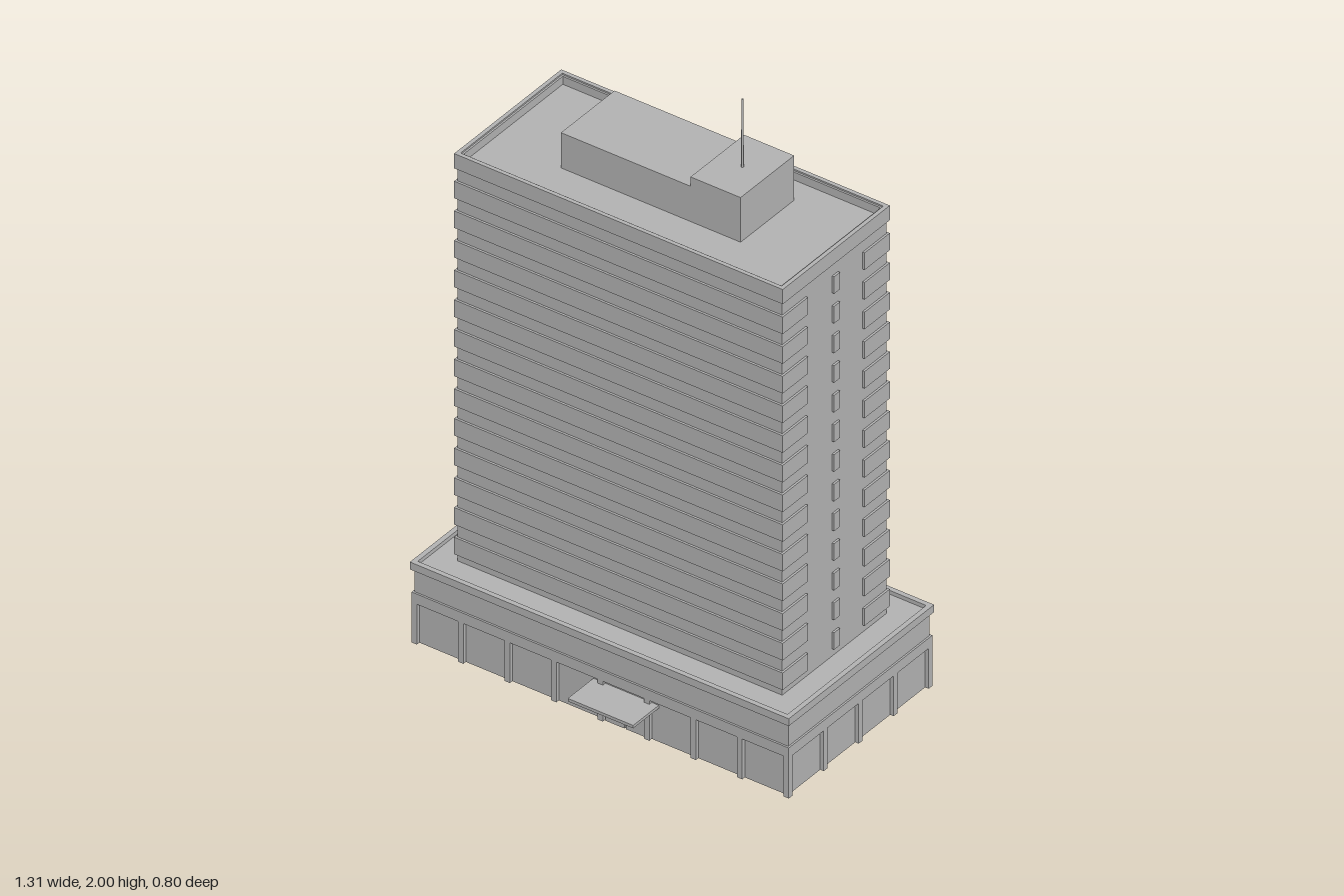
import * as THREE from 'three';

const ZB = -0.054; // middle of podium and tower in z

export function createModel() {
  const model = new THREE.Group();
  model.name = 'officeTower';
  const concrete = new THREE.MeshStandardMaterial({ color: 0xb2b2b2 });
  concrete.name = 'concrete grey';

  const group = (name) => {
    const g = new THREE.Group();
    g.name = name;
    model.add(g);
    return g;
  };
  const add = (parent, name, geometry) => {
    const m = new THREE.Mesh(geometry, concrete);
    m.name = name;
    parent.add(m);
    return m;
  };
  // Box given by its limits
  const box = (parent, name, x0, x1, y0, y1, z0, z1) => {
    const m = add(parent, name, new THREE.BoxGeometry(x1 - x0, y1 - y0, z1 - z0));
    m.position.set((x0 + x1) / 2, (y0 + y1) / 2, (z0 + z1) / 2);
    return m;
  };
  // Rectangular ring: half sizes hx, hz, wall thickness t, from y0 to y1
  const ring = (parent, name, hx, hz, t, y0, y1) => {
    const rect = (path, x, z) => path.moveTo(-x, -z).lineTo(x, -z).lineTo(x, z).lineTo(-x, z).closePath();
    const shape = rect(new THREE.Shape(), hx, hz);
    shape.holes.push(rect(new THREE.Path(), hx - t, hz - t));
    const g = new THREE.ExtrudeGeometry(shape, { depth: y1 - y0, bevelEnabled: false });
    g.rotateX(-Math.PI / 2);
    const m = add(parent, name, g);
    m.position.set(0, y0, ZB);
    return m;
  };

  // Podium: glazed ground floor, fascia, upper wall, cornice and roof terrace
  const podium = group('podium');
  const PX = 0.652, PZ = 0.342;
  ring(podium, 'shopWindows', PX - 0.012, PZ - 0.012, 0.008, 0, 0.137);
  ring(podium, 'fascia', PX, PZ, 0.13, 0.137, 0.172);
  ring(podium, 'upperWall', PX - 0.006, PZ - 0.006, 0.03, 0.172, 0.25);
  ring(podium, 'cornice', 0.655, 0.346, 0.016, 0.25, 0.275);
  ring(podium, 'terrace', 0.642, 0.333, 0.1, 0.25, 0.262);

  // Ground floor pillars: eight bays along the front and back, four on the sides
  const pillars = group('pillars');
  const W = 0.018;
  for (const s of [-1, 1]) {
    for (let i = 0; i <= 8; i++) {
      const x = (i / 4 - 1) * (PX - W / 2);
      const z = ZB + s * (PZ - W / 2);
      box(pillars, 'pillar', x - W / 2, x + W / 2, 0, 0.137, z - W / 2, z + W / 2);
    }
    for (let i = 1; i < 4; i++) {
      const x = s * (PX - W / 2);
      const z = ZB + (i / 2 - 1) * (PZ - W / 2);
      box(pillars, 'pillar', x - W / 2, x + W / 2, 0, 0.137, z - W / 2, z + W / 2);
    }
  }

  // Entrance with canopy, double doors and push bars
  const entrance = group('entrance');
  box(entrance, 'canopy', -0.032, 0.194, 0.114, 0.124, 0.27, 0.398);
  for (const x0 of [0.012, 0.083]) {
    box(entrance, 'door', x0, x0 + 0.066, 0, 0.11, 0.274, 0.28);
    box(entrance, 'pushBar', x0 + 0.005, x0 + 0.061, 0.073, 0.082, 0.28, 0.286);
  }

  // Tower shaft: hollow, with spandrel bands on every floor
  const tower = group('tower');
  const TX = 0.568, TZ = 0.255, IN = 0.007;
  ring(tower, 'shaft', TX - IN, TZ - IN, 0.012, 0.25, 1.645);
  ring(tower, 'parapet', TX, TZ, 0.013, 1.6, 1.65);
  box(tower, 'roof', -TX + 0.013, TX - 0.013, 1.605, 1.618, ZB - TZ + 0.013, ZB + TZ - 0.013);

  const FLOORS = 13, PITCH = 0.101, BAND = 0.058, CORNER = 0.12;
  for (let i = 0; i < FLOORS; i++) {
    const y0 = 0.286 + i * PITCH;
    const y1 = y0 + BAND;
    for (const s of [-1, 1]) {
      const za = ZB + s * TZ, zb = za - s * 0.01, zc = za - s * CORNER;
      box(tower, 'spandrel', -TX, TX, y0, y1, Math.min(za, zb), Math.max(za, zb));
      for (const q of [-1, 1]) {
        const xa = q * TX, xb = q * (TX - 0.01);
        box(tower, 'cornerSpandrel', Math.min(xa, xb), Math.max(xa, xb), y0, y1,
          Math.min(zb, zc), Math.max(zb, zc));
      }
      // Narrow middle strip on the end walls
      const xa = s * TX, xb = s * (TX - 0.01);
      box(tower, 'middleSpandrel', Math.min(xa, xb), Math.max(xa, xb), y0, y1, ZB - 0.018, ZB + 0.01);
    }
  }

  // Roof plant rooms and mast
  const rooftop = group('rooftop');
  box(rooftop, 'plantRoom', -0.312, 0.136, 1.61, 1.738, -0.21, 0.045);
  box(rooftop, 'liftRoom', 0.136, 0.309, 1.61, 1.77, -0.21, 0.045);
  const mast = add(rooftop, 'mast', new THREE.CylinderGeometry(0.003, 0.004, 0.24, 8));
  mast.position.set(0.224, 1.88, -0.081);

  return model;
}
